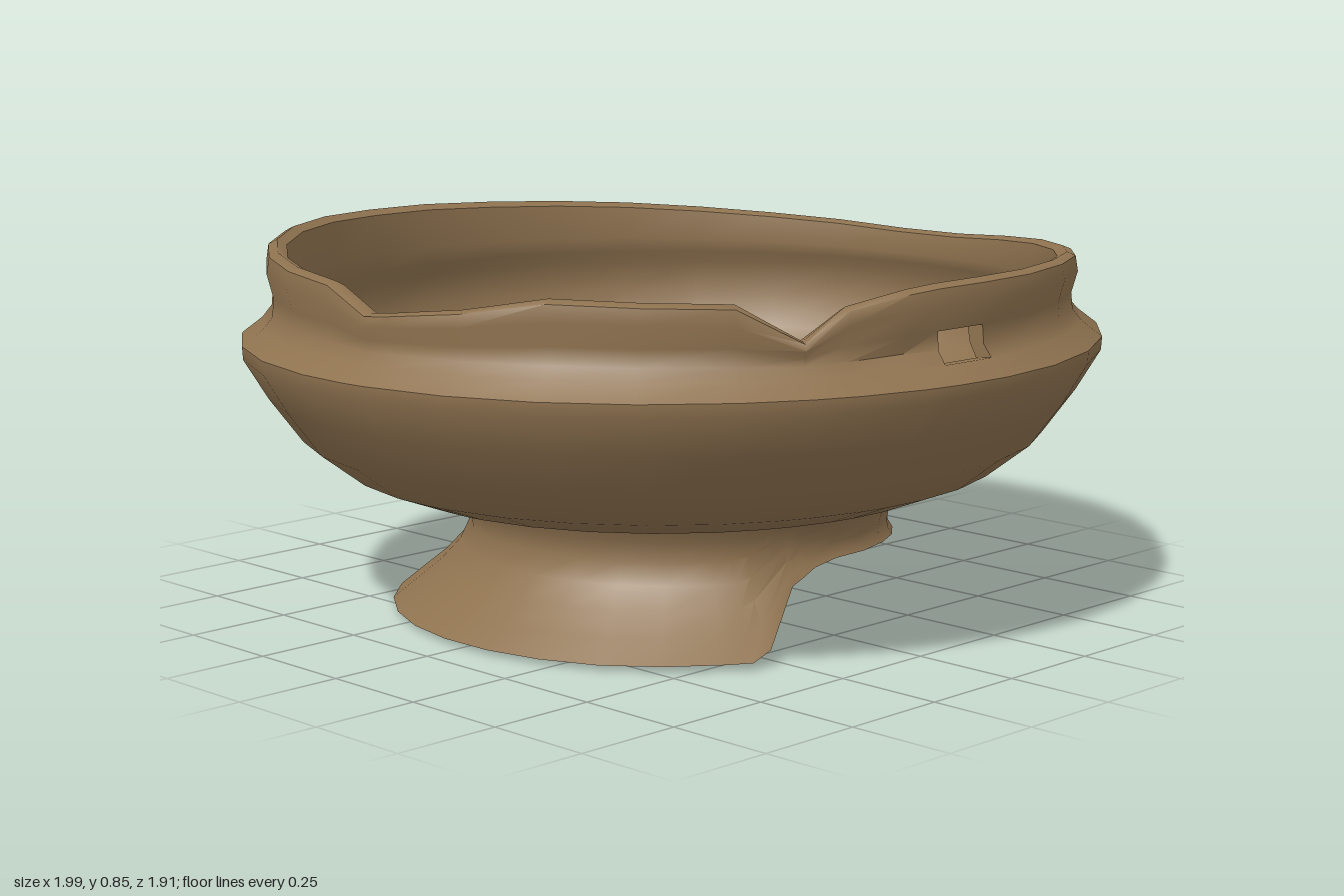
import * as THREE from 'three';
import { toCreasedNormals } from 'three/addons/utils/BufferGeometryUtils.js';

const clay = new THREE.MeshStandardMaterial({ color: 0x8f7350 });
clay.name = 'brown clay';

// Piecewise linear lookup in a list of [key, value] pairs
function lookup(keys, k) {
  if (k <= keys[0][0]) return keys[0][1];
  for (let i = 1; i < keys.length; i++) {
    const [a, va] = keys[i - 1], [b, vb] = keys[i];
    if (k <= b) return va + (vb - va) * (k - a) / (b - a);
  }
  return keys[keys.length - 1][1];
}

// Skins closed rings: point(row, degrees) gives [radius, y]; angle 0 is the front
function ringSurface(rows, angles, point, isOpen = () => false, extra = []) {
  const pos = [], idx = [], n = angles.length;
  for (let i = 0; i < rows; i++) {
    for (const deg of angles) {
      const [r, y] = point(i, deg), a = THREE.MathUtils.degToRad(deg);
      pos.push(r * Math.sin(a), y, r * Math.cos(a));
    }
  }
  const quad = (a, b, c, d) => idx.push(a, b, c, a, c, d);
  for (let i = 0; i < rows - 1; i++) {
    for (let j = 0; j < n; j++) {
      if (isOpen(i, angles[j])) continue;
      const k = (j + 1) % n;
      quad(i * n + j, i * n + k, (i + 1) * n + k, (i + 1) * n + j);
    }
  }
  for (const q of extra) quad(...q);
  const geo = new THREE.BufferGeometry();
  geo.setAttribute('position', new THREE.Float32BufferAttribute(pos, 3));
  geo.setIndex(idx);
  return toCreasedNormals(geo, 0.95);
}

function angleList(extras) {
  const list = [...extras];
  for (let d = -180; d < 180; d += 12) {
    if (extras.every((e) => Math.abs(e - d) > 3)) list.push(d);
  }
  return list.sort((a, b) => a - b);
}

// Bowl: outside from the underside up to the rim, then inside down to the floor
const bowlProfile = [
  [0, 0.27], [0.3, 0.275], [0.5, 0.288], [0.65, 0.302], [0.765, 0.345], [0.865, 0.42],
  [0.94, 0.52], [0.995, 0.61], [0.997, 0.64], [0.95, 0.675], [0.928, 0.7], [0.924, 0.735],
  [0.938, 0.78], [0.932, 0.812], [0.912, 0.82], [0.89, 0.81], [0.882, 0.735], [0.89, 0.7],
  [0.908, 0.67], [0.915, 0.6], [0.88, 0.51], [0.78, 0.42], [0.62, 0.365], [0.35, 0.335], [0, 0.325],
];

// Worn rim height around the bowl
const rimHeight = [
  [-180, 0.85], [-150, 0.86], [-120, 0.845], [-96, 0.83], [-88, 0.775], [-75, 0.795], [-60, 0.835],
  [-36, 0.825], [-27, 0.745], [-21, 0.81], [-10, 0.84], [0, 0.842], [30, 0.835], [60, 0.81],
  [90, 0.775], [120, 0.8], [150, 0.83], [180, 0.85],
];

function makeBowl() {
  const angles = angleList([-96, -88, -36, -27, -21, -12, -7, 1.5]);
  const n = angles.length, left = angles.indexOf(-7), right = angles.indexOf(1.5);
  const base = 0.69;
  const point = (i, deg) => {
    let [r, y] = bowlProfile[i];
    if (y > base) y = base + (y - base) * (lookup(rimHeight, deg) - base) / (0.82 - base);
    if (i === 10 && deg === -12) r -= 0.018; // shallow gouge beside the hole
    return [r, y];
  };
  // Hole through the wall: outer rows 9 to 11, inner rows 16 to 18
  const isOpen = (i, deg) => deg >= -7 && deg < 1.5 && ((i >= 9 && i < 11) || (i >= 16 && i < 18));
  const v = (i, j) => i * n + j;
  const walls = [];
  for (let j = left; j < right; j++) {
    walls.push([v(9, j), v(9, j + 1), v(18, j + 1), v(18, j)]);
    walls.push([v(11, j + 1), v(11, j), v(16, j), v(16, j + 1)]);
  }
  for (let i = 9; i < 11; i++) {
    walls.push([v(i + 1, left), v(i, left), v(27 - i, left), v(26 - i, left)]);
    walls.push([v(i, right), v(i + 1, right), v(26 - i, right), v(27 - i, right)]);
  }
  const mesh = new THREE.Mesh(ringSurface(bowlProfile.length, angles, point, isOpen, walls), clay);
  mesh.name = 'bowl';
  mesh.scale.z = 0.957;
  return mesh;
}

// Foot: flared hollow ring, broken away at the front and one side
const footRadius = [
  [0, 0.665], [0.03, 0.648], [0.06, 0.605], [0.1, 0.555], [0.14, 0.51], [0.2, 0.48], [0.25, 0.488], [0.3, 0.52],
];
const footEdge = [
  [-180, 0.01], [-90, 0.015], [-60, 0.015], [-31, 0.02], [-27, 0.04], [-16, 0.14], [-8, 0.17],
  [0, 0.18], [30, 0.175], [60, 0.16], [80, 0.15], [90, 0.13], [100, 0.15], [121, 0.145],
  [134, 0.09], [144, 0.02], [160, 0], [180, 0.01],
];

function makeFoot() {
  const angles = angleList([-31, -27, -16, -8, 80, 90, 100, 121, 134, 144]);
  const steps = 7, top = 0.298;
  const point = (i, deg) => {
    const inside = i < steps;
    const t = inside ? 1 - i / (steps - 1) : (i - steps) / (steps - 1);
    const edge = lookup(footEdge, deg);
    const y = edge + (top - edge) * t;
    const r = lookup(footRadius, y);
    // the inside narrows towards the ceiling, and the lip is slightly rounded
    return inside ? [r - 0.045 - 0.03 * t, y + (t === 0 ? 0.008 : 0)] : [r, y + (t === 0 ? 0.004 : 0)];
  };
  const mesh = new THREE.Mesh(ringSurface(steps * 2, angles, point), clay);
  mesh.name = 'brokenFoot';
  mesh.position.z = 0.015;
  return mesh;
}

export function createModel() {
  const group = new THREE.Group();
  group.name = 'footedBowl';
  group.add(makeBowl(), makeFoot());
  return group;
}
